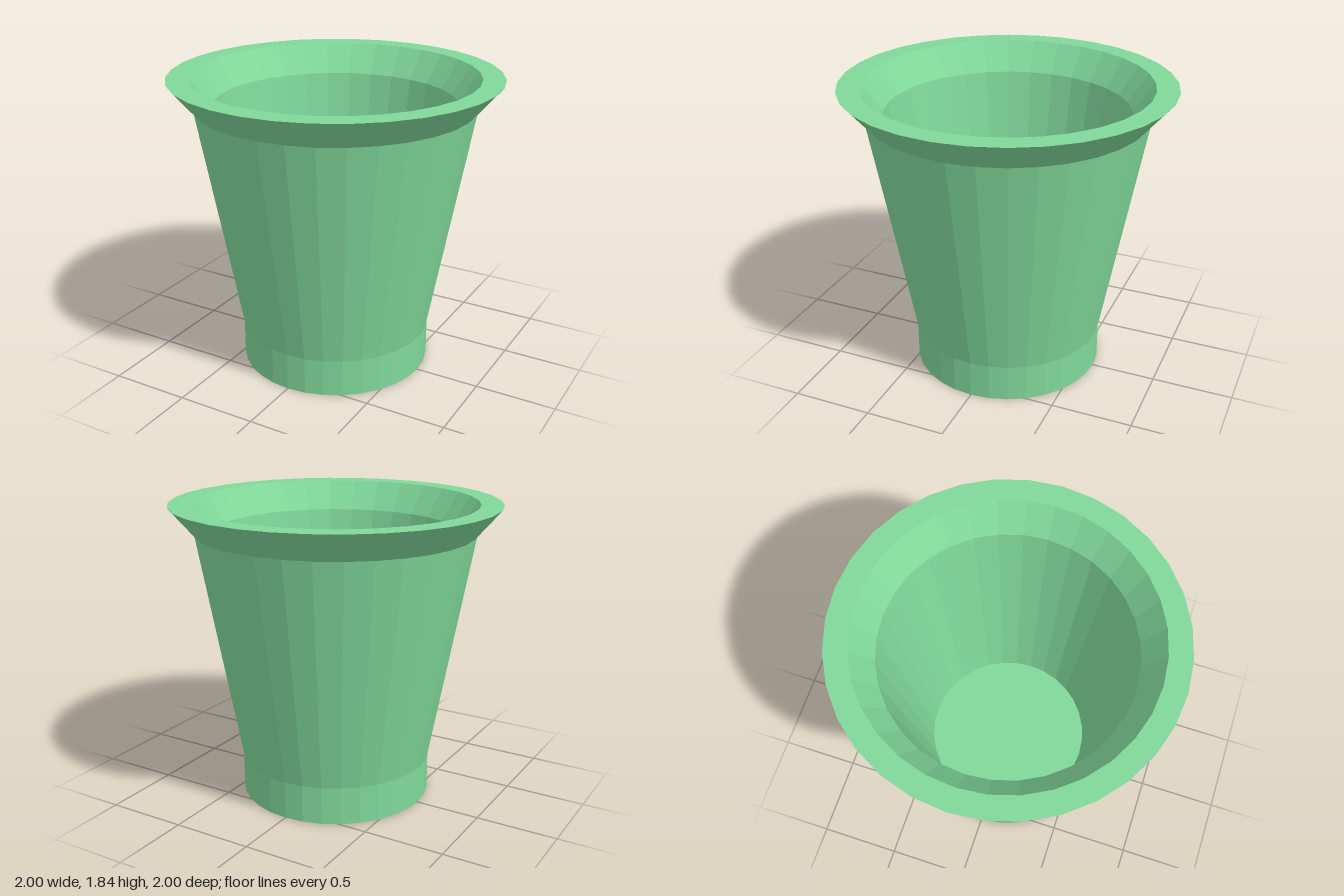
import * as THREE from 'three';

const SIDES = 32;

export function createModel() {
  const group = new THREE.Group();
  group.name = 'cup';

  const material = new THREE.MeshStandardMaterial({ color: 0x80d89a, flatShading: true });

  // Closed profile [radius, height]: underside, foot, outer wall, flared rim, inner wall, floor
  const profile = [
    [0, 0],
    [0.595, 0],
    [0.595, 0.235],
    [0.85, 1.665],
    [1, 1.84],
    [0.865, 1.84],
    [0.74, 1.665],
    [0.515, 0.235],
    [0, 0.235],
  ].map(([r, y]) => new THREE.Vector2(r, y));

  const body = new THREE.Mesh(new THREE.LatheGeometry(profile, SIDES), material);
  body.name = 'cupBody';
  group.add(body);

  return group;
}
